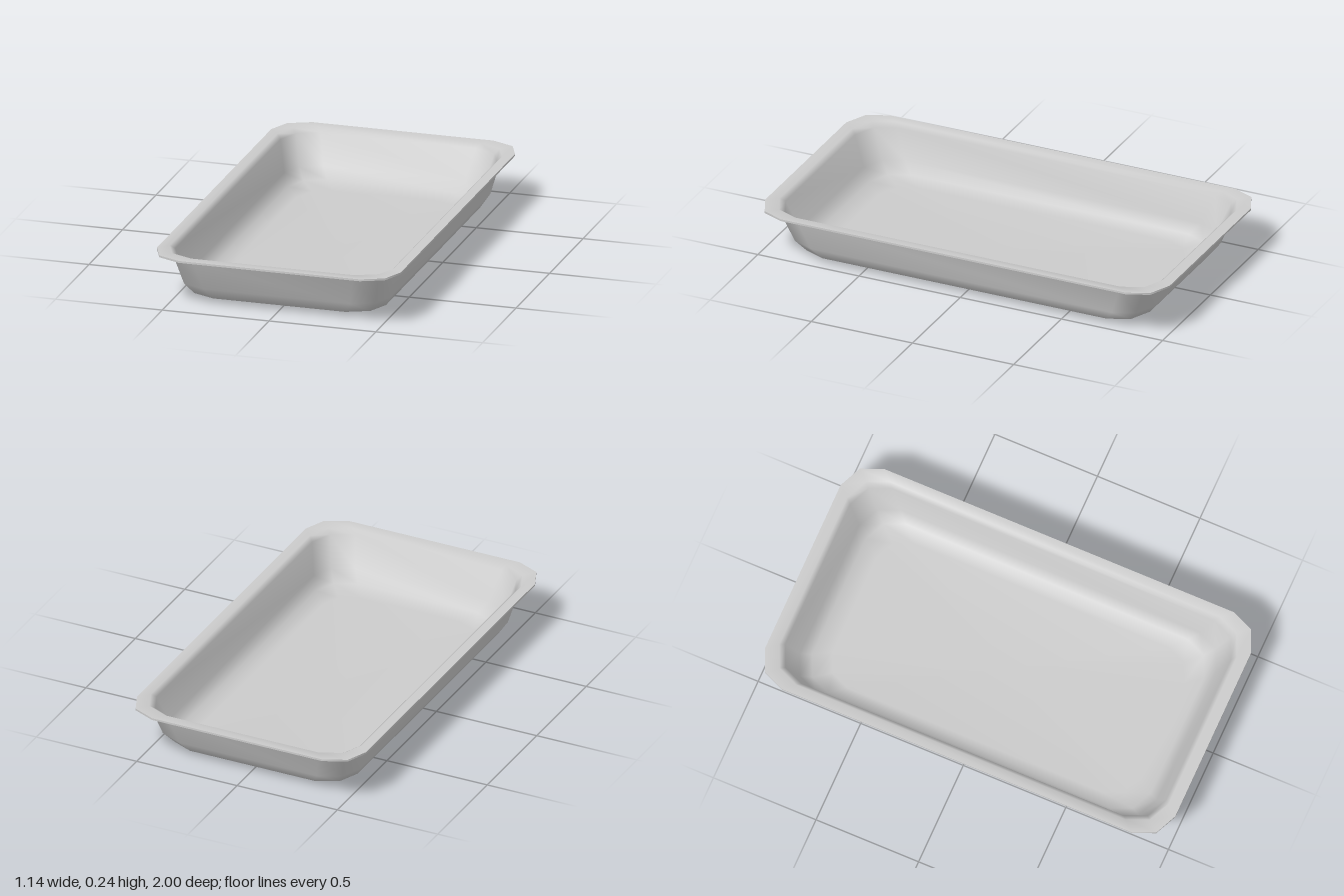
import * as THREE from 'three';

// Rectangle outline with each corner cut into two facets (12 points)
function ring([hx, hz, y, r]) {
  const corner = [[hx, hz - r], [hx - 0.29 * r, hz - 0.32 * r], [hx - r, hz]];
  const points = [];
  for (const [sx, sz] of [[1, 1], [-1, 1], [-1, -1], [1, -1]]) {
    const order = sx * sz > 0 ? corner : [...corner].reverse();
    for (const [x, z] of order) points.push([x * sx, y, z * sz]);
  }
  return points;
}

// Skin consecutive rings; cap the 'first' or 'last' ring with a fan
function loft(profile, cap) {
  const rings = profile.map(ring);
  const n = rings[0].length;
  const last = rings.length - 1;
  const positions = rings.flat(2);
  const index = [];
  for (let i = 0; i < last; i++) {
    for (let j = 0; j < n; j++) {
      const k = (j + 1) % n;
      const a = i * n + j, b = a + n, c = (i + 1) * n + k, d = i * n + k;
      index.push(a, b, c, a, c, d);
    }
  }
  if (cap) {
    const row = cap === 'first' ? 0 : last;
    const centre = rings.length * n;
    positions.push(0, profile[row][2], 0);
    for (let j = 0; j < n; j++) {
      const a = row * n + j, b = row * n + (j + 1) % n;
      index.push(centre, ...(row === 0 ? [a, b] : [b, a]));
    }
  }
  const geometry = new THREE.BufferGeometry();
  geometry.setAttribute('position', new THREE.Float32BufferAttribute(positions, 3));
  geometry.setIndex(index);
  geometry.computeVertexNormals();
  return geometry;
}

export function createModel() {
  const group = new THREE.Group();
  group.name = 'bakingTray';
  const material = new THREE.MeshStandardMaterial({ color: 0xcccccc });
  const add = (name, profile, cap) => {
    const mesh = new THREE.Mesh(loft(profile, cap), material);
    mesh.name = name;
    group.add(mesh);
  };

  // Rings: half width, half length, height, corner size
  const rimUnder = [0.571, 1.0, 0.231, 0.147];
  const rimTop = [0.571, 1.0, 0.24, 0.147];

  // Underside, from the base up the wall and out under the rim
  add('outerShell', [
    [0.39, 0.772, 0, 0.135],
    [0.455, 0.848, 0.025, 0.145],
    [0.49, 0.89, 0.08, 0.147],
    [0.52, 0.942, 0.215, 0.147],
    [0.542, 0.958, 0.23, 0.147],
    rimUnder,
  ], 'first');

  // Thin outside edge of the rim
  add('rimEdge', [rimUnder, rimTop]);

  // Rim top, then down the inner wall to the floor
  add('innerShell', [
    rimTop,
    [0.526, 0.949, 0.239, 0.145],
    [0.506, 0.928, 0.221, 0.143],
    [0.472, 0.87, 0.085, 0.14],
    [0.437, 0.825, 0.038, 0.138],
    [0.374, 0.75, 0.016, 0.13],
  ], 'last');

  return group;
}
